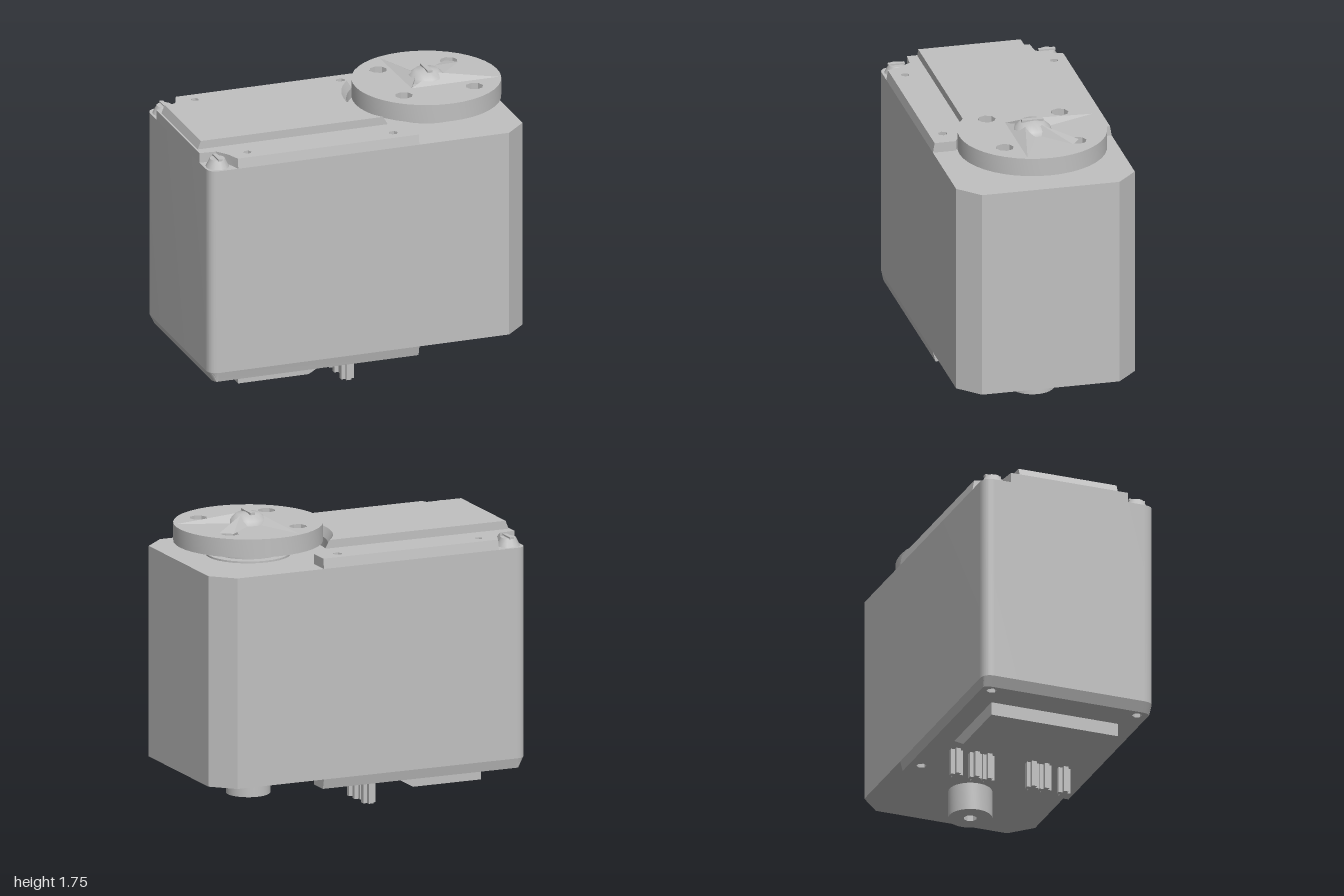
import * as THREE from 'three';
import { toCreasedNormals } from 'three/addons/utils/BufferGeometryUtils.js';
import { ConvexGeometry } from 'three/addons/geometries/ConvexGeometry.js';

const grey = new THREE.MeshStandardMaterial({ color: 0xc0c0c0 });
grey.name = 'grey plastic';
const AX = 0.55; // x of the output shaft

export function createModel() {
  const model = new THREE.Group();
  model.name = 'servoMotor';

  const add = (name, geo, x = 0, y = 0, z = 0) => {
    const mesh = new THREE.Mesh(geo, grey);
    mesh.name = name;
    mesh.position.set(x, y, z);
    model.add(mesh);
    return mesh;
  };

  // Plan outline in x and z, raised from y0 to y1
  const slab = (shape, y0, y1, move) => {
    const geo = new THREE.ExtrudeGeometry(shape, { depth: y1 - y0, bevelEnabled: false, curveSegments: 20 });
    geo.rotateX(Math.PI / 2).translate(0, y1, 0);
    if (move) {
      const p = geo.attributes.position;
      const v = new THREE.Vector3();
      for (let i = 0; i < p.count; i++) {
        v.fromBufferAttribute(p, i);
        move(v);
        p.setXYZ(i, v.x, v.y, v.z);
      }
    }
    return toCreasedNormals(geo, 0.5);
  };

  const hole = (shape, x, z, r, sides = 6) => {
    const pts = [];
    for (let i = 0; i < sides; i++) {
      const a = -i / sides * Math.PI * 2;
      pts.push(new THREE.Vector2(x + r * Math.cos(a), z + r * Math.sin(a)));
    }
    shape.holes.push(new THREE.Path(pts));
  };

  // Rear end of the plan, from z = -w round to z = w
  const rearEnd = (s, w, r) => {
    s.lineTo(-1 + r, w);
    s.quadraticCurveTo(-1, w, -1, w - r);
    s.lineTo(-1, -w + r);
    s.quadraticCurveTo(-1, -w, -1 + r, -w);
  };

  // Main case with two chamfered corners
  const bodyPlan = new THREE.Shape();
  bodyPlan.moveTo(0.87, -0.54);
  bodyPlan.lineTo(1, -0.415);
  bodyPlan.lineTo(1, 0.415);
  bodyPlan.lineTo(0.87, 0.54);
  rearEnd(bodyPlan, 0.54, 0.07);
  add('caseBody', slab(bodyPlan, 0.22, 1.49));

  // Concave edge of a cover around the shaft
  const scoop = (s, r, zEnd) => {
    const a = Math.asin(zEnd / r);
    s.absarc(AX, 0, r, Math.PI + a, Math.PI - a, true);
  };

  // Bottom cover, its lower edge drawn in
  const bottomPlan = new THREE.Shape();
  bottomPlan.moveTo(0.31, -0.54);
  bottomPlan.lineTo(0.31, -0.4);
  scoop(bottomPlan, 0.47, 0.4);
  bottomPlan.lineTo(0.31, 0.4);
  bottomPlan.lineTo(0.31, 0.54);
  rearEnd(bottomPlan, 0.54, 0.07);
  for (const s of [-1, 1]) {
    hole(bottomPlan, -0.92, s * 0.46, 0.03);
    hole(bottomPlan, 0.2, s * 0.45, 0.03);
  }
  add('bottomCover', slab(bottomPlan, 0.16, 0.22, v => {
    if (v.y < 0.17) {
      if (v.x < -0.95) v.x += 0.03;
      v.z = THREE.MathUtils.clamp(v.z, -0.525, 0.525);
    }
  }));

  // Top cover with notched screw corners
  const topPlan = new THREE.Shape();
  topPlan.moveTo(0.31, -0.54);
  topPlan.lineTo(0.31, -0.4);
  scoop(topPlan, 0.47, 0.4);
  topPlan.lineTo(0.31, 0.4);
  topPlan.lineTo(0.31, 0.54);
  [[-0.82, 0.54], [-0.85, 0.45], [-0.9, 0.38], [-1, 0.37],
    [-1, -0.37], [-0.9, -0.38], [-0.85, -0.45], [-0.82, -0.54]].forEach(p => topPlan.lineTo(...p));
  for (const s of [-1, 1]) {
    hole(topPlan, -0.73, s * 0.45, 0.025);
    hole(topPlan, 0.18, s * 0.45, 0.028);
  }
  add('topCover', slab(topPlan, 1.49, 1.55, v => {
    if (v.y > 1.54) v.z = THREE.MathUtils.clamp(v.z, -0.53, 0.53);
  }));

  // Raised panel, sloping at the rear and round the shaft
  const panel = new THREE.Shape();
  panel.moveTo(-0.99, -0.31);
  panel.lineTo(0.17, -0.31);
  scoop(panel, 0.47, 0.31);
  panel.lineTo(-0.99, 0.31);
  add('topPanel', slab(panel, 1.55, 1.6, v => {
    if (v.y > 1.58) v.x += v.x < -0.9 ? 0.02 : -0.03;
  }));

  // Cross-headed corner screws
  for (const s of [-1, 1]) {
    add('cornerScrew', new THREE.CylinderGeometry(0.045, 0.07, 0.05, 12), -0.92, 1.515, s * 0.455);
    add('cornerScrewRidge', new THREE.BoxGeometry(0.025, 0.012, 0.1), -0.92, 1.543, s * 0.455);
  }

  // Output shaft and round horn
  add('shaftBase', new THREE.CylinderGeometry(0.25, 0.25, 0.012, 32), AX, 1.495, 0);
  add('outputShaft', new THREE.CylinderGeometry(0.195, 0.195, 0.08, 32), AX, 1.54, 0);
  const horn = new THREE.Shape();
  horn.absarc(AX, 0, 0.44, 0, Math.PI * 2, false);
  for (const x of [-0.22, 0.22]) for (const z of [-0.22, 0.22]) hole(horn, AX + x, z, 0.053, 8);
  add('hornDisc', slab(horn, 1.57, 1.68));

  // Domed centre screw with a slot ridge
  const dome = [[0.115, 0], [0.105, 0.025], [0.07, 0.055], [0, 0.065]].map(p => new THREE.Vector2(...p));
  add('hornScrew', new THREE.LatheGeometry(dome, 14), AX, 1.68, 0);
  add('hornScrewSlot', new THREE.BoxGeometry(0.03, 0.02, 0.13), AX, 1.74, 0);

  // Low faceted ribs running out from the screw
  const rib = (base, apex) => add('hornRib', new ConvexGeometry(
    [...base.map(([x, z]) => new THREE.Vector3(x, 1.679, z)), new THREE.Vector3(...apex)]));
  rib([[0.4, -0.41], [0.41, 0.13], [0.53, -0.08]], [0.48, 1.725, 0.02]);
  rib([[0.41, 0.13], [0.96, 0.13], [0.6, -0.02]], [0.58, 1.73, 0.05]);
  rib([[0.56, -0.07], [0.75, -0.23], [0.82, -0.18], [0.62, 0.01]], [0.62, 1.735, -0.04]);

  // Lower bearing boss
  const boss = new THREE.Shape();
  boss.absarc(AX, 0, 0.13, 0, Math.PI * 2, false);
  hole(boss, AX, 0, 0.04, 8);
  add('lowerBoss', slab(boss, 0.05, 0.22));

  // Sloped connector housing beneath
  const side = new THREE.Shape([[-0.77, 0.165], [-0.77, 0.08], [-0.33, 0.08], [-0.18, 0.165]]
    .map(p => new THREE.Vector2(...p)));
  add('connectorHousing', new THREE.ExtrudeGeometry(side, { depth: 0.8, bevelEnabled: false }), 0, 0, -0.4);

  // Cross-shaped connector pins
  for (const s of [-1, 1]) for (const z of [0.34, 0.22, 0.14]) {
    add('pin', new THREE.BoxGeometry(0.03, 0.2, 0.075), -0.07, 0.1, s * z);
    add('pinCross', new THREE.BoxGeometry(0.08, 0.2, 0.03), -0.07, 0.1, s * z);
  }

  return model;
}
